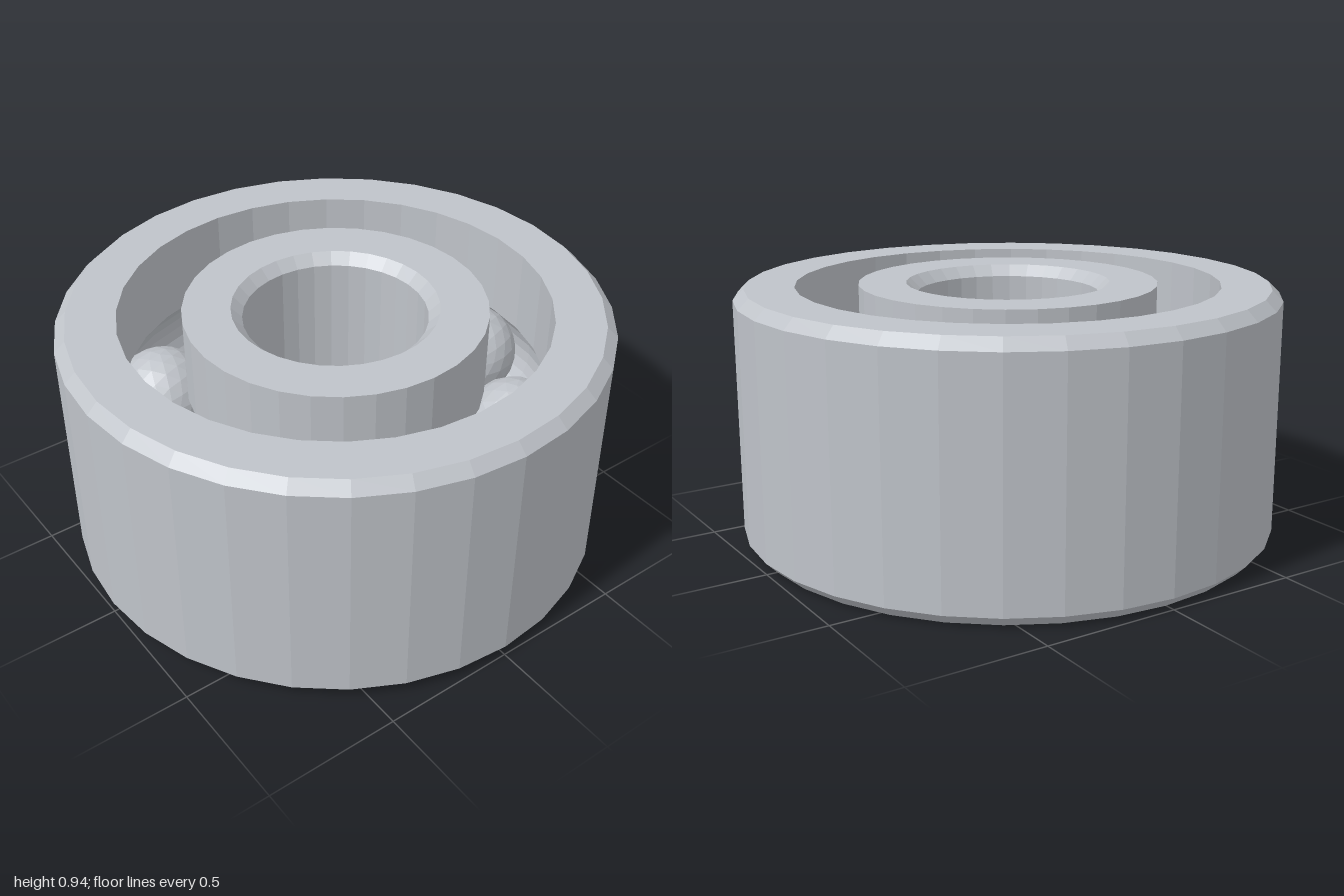
import * as THREE from 'three';

const HEIGHT = 0.94, MID = HEIGHT / 2, BEVEL = 0.04, SIDES = 32;
const PITCH = 0.667, BALL = 0.185, GROOVE = 0.187;

export function createModel() {
  const model = new THREE.Group();
  model.name = 'ballBearing';
  const steel = new THREE.MeshStandardMaterial({ color: 0xbfc3c9, flatShading: true });
  steel.name = 'steel';

  const addMesh = (name, geometry, parent = model) => {
    const flat = geometry.index ? geometry.toNonIndexed() : geometry;
    flat.computeVertexNormals();
    const mesh = new THREE.Mesh(flat, steel);
    mesh.name = name;
    parent.add(mesh);
    return mesh;
  };

  // Raceway cross-section, an arc round the ball centre; side is +1 outward, -1 inward
  const raceway = (wallRadius, side) => {
    const half = Math.acos(Math.abs(wallRadius - PITCH) / GROOVE);
    const points = [];
    for (let i = 0; i <= 8; i++) {
      const a = side * half * (1 - i / 4);
      points.push([PITCH + side * GROOVE * Math.cos(a), MID + GROOVE * Math.sin(a)]);
    }
    return points;
  };

  // Closed section, up the outside and down the inside
  const ring = (name, section) => addMesh(name, new THREE.LatheGeometry(
    [...section, section[0]].map(([r, y]) => new THREE.Vector2(r, y)), SIDES));

  ring('outerRing', [
    [0.96, 0], [1, BEVEL], [1, HEIGHT - BEVEL], [0.96, HEIGHT],
    [0.78, HEIGHT], ...raceway(0.78, 1), [0.78, 0],
  ]);
  ring('innerRing', [
    [0.55, 0], ...raceway(0.55, -1), [0.55, HEIGHT],
    [0.375, HEIGHT], [0.335, HEIGHT - BEVEL], [0.335, BEVEL], [0.375, 0],
  ]);

  // Eight faceted balls between the rings
  const balls = new THREE.Group();
  balls.name = 'balls';
  model.add(balls);
  const ballGeometry = new THREE.IcosahedronGeometry(BALL, 3);
  ballGeometry.rotateZ(Math.atan(2 / (1 + Math.sqrt(5))));
  for (let i = 0; i < 8; i++) {
    const a = i * Math.PI / 4;
    addMesh('ball' + (i + 1), ballGeometry, balls)
      .position.set(PITCH * Math.cos(a), MID, PITCH * Math.sin(a));
  }
  return model;
}
